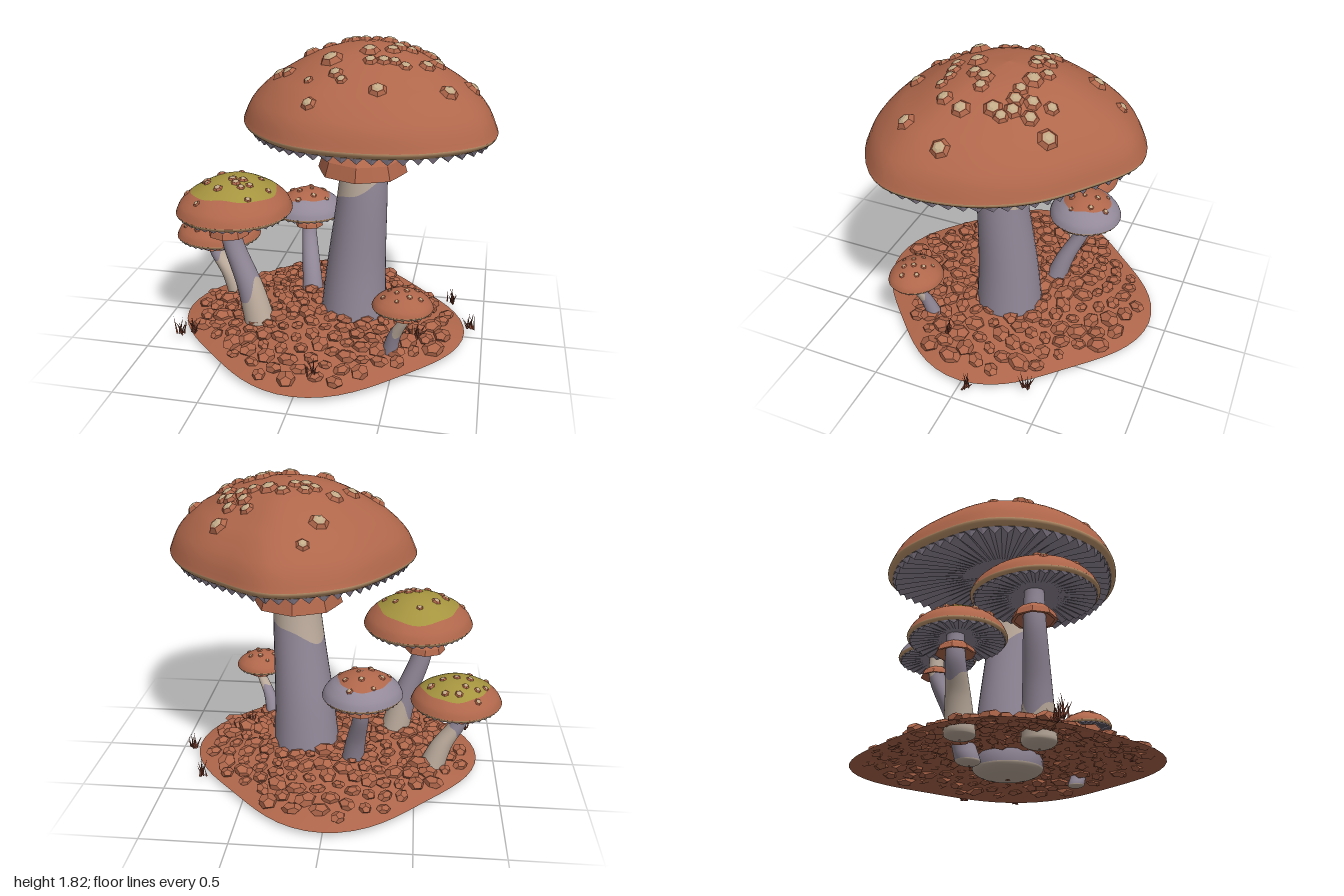
import * as THREE from 'three';
import { mergeGeometries } from 'three/addons/utils/BufferGeometryUtils.js';
import { ParametricGeometry } from 'three/addons/geometries/ParametricGeometry.js';

const mat = (name, color) => Object.assign(new THREE.MeshStandardMaterial({ color }), { name });
const V = (x, y, z) => new THREE.Vector3(x, y, z);
const TAU = Math.PI * 2;

function seeded(seed) {
  return () => {
    seed = (seed * 16807) % 2147483647;
    return seed / 2147483647;
  };
}

function flat(geo) {
  const g = geo.index ? geo.toNonIndexed() : geo;
  g.computeVertexNormals();
  return g;
}

// Surface swept around an axis; surf(u, t) gives a point, t runs from a(u) to b(u)
function sheet(surf, slices, stacks, a = () => 0, b = () => 1) {
  return new ParametricGeometry((u, v, p) => p.copy(surf(u, a(u) + (b(u) - a(u)) * v)), slices, stacks);
}

const capProfile = new THREE.SplineCurve(
  [[0, 1], [0.28, 0.93], [0.48, 0.8], [0.65, 0.64], [0.79, 0.49], [0.93, 0.25], [1, 0]]
    .map(([x, y]) => new THREE.Vector2(x, y)));

export function createModel() {
  const model = new THREE.Group();
  const rand = seeded(4711);
  const M = {
    brown: mat('russet brown', 0xb0674b),
    purple: mat('dusky purple', 0x938999),
    beige: mat('pale beige', 0xbfae9f),
    tan: mat('tan rim', 0xc49a70),
    wart: mat('wart cream', 0xc2ab88),
    olive: mat('olive', 0xa5943f),
    grass: mat('dark grass', 0x7a4030),
  };
  const add = (parent, name, geo, material) => {
    const m = new THREE.Mesh(geo, material);
    m.name = name;
    parent.add(m);
    return m;
  };

  function mushroom(o) {
    const g = new THREE.Group();
    g.name = o.name;
    model.add(g);
    const [cx, rimY, cz] = o.cap;
    const n = o.radii.length;
    const outline = new THREE.CatmullRomCurve3(o.radii.map((r, i) =>
      V(r * Math.cos(i / n * TAU), 0, r * Math.sin(i / n * TAU))), true);
    const edge = (u, s, y) => outline.getPoint(((u % 1) + 1) % 1).multiplyScalar(s).add(V(cx, y, cz));

    // Cap, split into a wavy crown patch and an outer part
    const baseY = rimY + o.band;
    const capSurf = (u, t) => {
      const p = capProfile.getPoint(t);
      return edge(u, p.x, baseY + p.y * (o.top - baseY));
    };
    if (o.patch) {
      const split = u => o.patch.t + 0.05 * Math.sin(u * TAU + o.patch.phase) + 0.03 * Math.sin(u * TAU * 3)
        + 0.015 * Math.sin(u * TAU * 7);
      add(g, 'capCrown', sheet(capSurf, 48, 10, () => 0.002, split), o.patch.material);
      add(g, 'capSkirt', sheet(capSurf, 48, 10, split), o.capMaterial);
    } else {
      add(g, 'cap', sheet(capSurf, 64, 20, () => 0.002), o.capMaterial);
    }
    add(g, 'capRim', sheet((u, t) => edge(u, 1 - 0.045 * t * t, baseY - o.band * t), 64, 4), M.tan);

    // Folded gills under the cap, deepest at the rim
    const gillSurf = (u, t) => {
      const saw = Math.abs(((u * o.gills) % 1) * 2 - 1);
      const drop = t > 0 ? o.gillDepth * (1 - saw) * (1 - t * t) ** 2 : 0;
      return edge(u, 0.955 - 0.9 * t * t, rimY - drop + o.gillDepth * 1.2 * t * t);
    };
    add(g, 'gills', flat(sheet(gillSurf, o.gills * 2, 6)), M.purple);

    // Stem, running downward and closed at its foot
    const path = new THREE.CatmullRomCurve3(o.stem.map(p => V(...p)));
    const [r0, r1] = o.stemR;
    const stemSurf = (u, t) => {
      const e = Math.max(0, (t - 0.95) / 0.05);
      const r = (r0 + (r1 - r0) * t ** 1.2) * Math.sqrt(Math.max(0, 1 - e * e));
      return path.getPointAt(t).add(V(r * Math.cos(u * TAU), 0, r * Math.sin(u * TAU)));
    };
    const yTop = o.stem[0][1], yEnd = o.stem[o.stem.length - 1][1];
    const stemSplit = u => (yTop - o.split.y - o.split.amp * (Math.cos(u * TAU - o.split.angle)
      + 0.25 * Math.sin(u * TAU * 3))) / (yTop - yEnd);
    const foot = () => 0.955;
    add(g, 'upperStem', sheet(stemSurf, 32, 10, undefined, stemSplit), o.upper);
    add(g, 'lowerStem', sheet(stemSurf, 32, 12, stemSplit, foot), o.lower);
    add(g, 'stemFoot', sheet(stemSurf, 32, 6, foot, () => 0.9999), M.beige);

    // Faceted ring skirt around the stem
    const [rx, ry, rz] = o.ring.at, { r, h } = o.ring;
    const ringPts = [[r0 * 0.9, h], [r * 0.6, h * 0.95], [r * 0.9, h * 0.5], [r, 0], [r * 0.86, 0], [r0 * 0.9, h * 0.5]];
    const ringSurf = (u, t) => {
      const [pr, py] = ringPts[Math.round(t * 5)];
      const s = pr * (1 + 0.035 * Math.cos(u * TAU * 8));
      return V(rx + s * Math.cos(u * TAU), ry + py, rz + s * Math.sin(u * TAU));
    };
    add(g, 'stemRing', flat(sheet(ringSurf, 16, 5)), M.brown);

    // Flat warts with pale tips, seated square to the cap
    const bases = [], tips = [];
    for (const [x, z, s] of o.warts) {
      const u = (Math.atan2(z - cz, x - cx) / TAU + 1) % 1;
      const rho = Math.hypot(x - cx, z - cz) / edge(u, 1, 0).sub(V(cx, 0, cz)).length();
      let lo = 0, hi = 0.99;
      for (let i = 0; i < 20; i++) {
        const mid = (lo + hi) / 2;
        if (capProfile.getPoint(mid).x < rho) lo = mid; else hi = mid;
      }
      const p = capSurf(u, lo);
      const normal = capSurf(u + 0.01, lo).sub(p).cross(capSurf(u, lo + 0.01).sub(p)).normalize();
      const q = new THREE.Quaternion().setFromUnitVectors(V(0, 1, 0), normal);
      const place = geo => flat(geo.rotateY(x * 40)
        .applyMatrix4(new THREE.Matrix4().compose(p, q, V(s, s, s))));
      bases.push(place(new THREE.CylinderGeometry(0.65, 1.12, 0.55, 6).translate(0, 0.08, 0)));
      tips.push(place(new THREE.CylinderGeometry(0.3, 0.56, 0.14, 6).translate(0, 0.42, 0)));
    }
    add(g, 'warts', mergeGeometries(bases), M.brown);
    add(g, 'wartTips', mergeGeometries(tips), M.wart);
  }

  const wobble = (R, phase) => Array.from({ length: 10 }, (_, i) =>
    R * (1 + 0.03 * Math.cos(i / 10 * TAU * 2 + phase) + 0.015 * Math.sin(i / 10 * TAU * 3)));
  const scatter = (x, z, R, count, s) => Array.from({ length: count }, (_, i) => {
    const a = i * 2.4, d = R * Math.sqrt((i + 0.3) / count);
    return [x + d * Math.cos(a), z + d * Math.sin(a), s * (0.7 + 0.5 * rand())];
  });

  mushroom({
    name: 'largeMushroom', cap: [0.26, 1.34, -0.06], top: 1.815, band: 0.04, capMaterial: M.brown,
    radii: [0.72, 0.82, 0.78, 0.74, 0.75, 0.74, 0.73, 0.69, 0.73, 0.755, 0.65, 0.66],
    gills: 56, gillDepth: 0.042, stemR: [0.125, 0.215], upper: M.beige, lower: M.purple,
    stem: [[0.245, 1.4, -0.02], [0.24, 1, 0], [0.2, 0.4, -0.02], [0.185, 0, -0.02]],
    split: { y: 0.92, amp: 0.09, angle: 0.6 }, ring: { at: [0.23, 1.055, -0.02], r: 0.26, h: 0.17 },
    warts: [[0.11, -0.64, 0.04], [0.05, -0.48, 0.06], [0.6, -0.41, 0.06], [0.45, -0.37, 0.045], [-0.01, -0.22, 0.055],
      [0.1, -0.2, 0.045], [0.15, -0.25, 0.045], [0.15, -0.18, 0.05], [0.21, -0.19, 0.045], [0.27, -0.28, 0.045],
      [0.35, -0.23, 0.06], [0.44, -0.2, 0.045], [0.48, -0.28, 0.05], [0.56, -0.3, 0.05], [0.51, -0.2, 0.05],
      [0.57, -0.21, 0.05], [0.6, -0.12, 0.055], [0.62, -0.17, 0.045], [-0.09, -0.08, 0.055], [0.43, 0, 0.055],
      [0.5, -0.01, 0.045], [0.65, 0.03, 0.055], [0.6, 0.15, 0.05], [0.85, 0.05, 0.055], [0.28, 0.11, 0.06],
      [0.4, 0.07, 0.05], [-0.23, 0.11, 0.055], [-0.17, 0.15, 0.05], [0.08, 0.19, 0.07], [0.3, 0.22, 0.045],
      [0.37, 0.21, 0.045], [0.43, 0.2, 0.04], [0.49, 0.22, 0.04], [0.73, 0.31, 0.055], [0.13, 0.32, 0.045],
      [0.17, 0.37, 0.035], [0.37, 0.43, 0.055], [0.02, 0.5, 0.045], [-0.02, 0.33, 0.03]],
  });
  mushroom({
    name: 'tallLeftMushroom', cap: [-0.495, 0.825, 0.215], top: 1.045, band: 0.022, capMaterial: M.brown,
    radii: wobble(0.35, 2.6), gills: 40, gillDepth: 0.018, stemR: [0.055, 0.1], upper: M.purple, lower: M.beige,
    stem: [[-0.54, 0.85, 0.21], [-0.53, 0.65, 0.21], [-0.42, 0.32, 0.21], [-0.35, 0.02, 0.21]],
    split: { y: 0.29, amp: 0.1, angle: 0 }, ring: { at: [-0.545, 0.67, 0.21], r: 0.122, h: 0.075 },
    patch: { material: M.olive, t: 0.6, phase: 3 },
    warts: [[-0.6, 0.14, 0.03], [-0.66, 0.24, 0.03], [-0.64, 0.28, 0.025], [-0.77, 0.28, 0.025], [-0.55, 0.36, 0.03],
      [-0.49, 0.26, 0.03], [-0.46, 0.3, 0.03], [-0.43, 0.25, 0.03], [-0.42, 0.33, 0.025], [-0.65, 0.45, 0.022],
      [-0.38, 0.29, 0.025], [-0.35, 0.15, 0.022], [-0.28, 0.25, 0.022], [-0.5, 0.05, 0.022], [-0.36, 0.4, 0.022]],
  });
  mushroom({
    name: 'shortLeftMushroom', cap: [-0.735, 0.485, -0.165], top: 0.66, band: 0.018, capMaterial: M.brown,
    radii: wobble(0.265, 0.5), gills: 34, gillDepth: 0.015, stemR: [0.045, 0.085], upper: M.purple, lower: M.beige,
    stem: [[-0.78, 0.5, -0.17], [-0.76, 0.37, -0.17], [-0.66, 0.2, -0.17], [-0.59, 0.01, -0.17]],
    split: { y: 0.33, amp: 0.05, angle: 0.2 }, ring: { at: [-0.77, 0.4, -0.17], r: 0.1, h: 0.055 },
    patch: { material: M.olive, t: 0.62, phase: 1 },
    warts: [[-0.9, -0.2, 0.022], [-0.85, -0.25, 0.022], [-0.81, -0.17, 0.024], [-0.74, -0.31, 0.026], [-0.73, -0.17, 0.022],
      [-0.66, -0.3, 0.024], [-0.58, -0.21, 0.028], [-0.92, -0.05, 0.022], [-0.82, 0.01, 0.026], [-0.85, -0.33, 0.022],
      [-0.65, -0.18, 0.022], [-0.78, -0.25, 0.022]],
  });
  mushroom({
    name: 'backMushroom', cap: [-0.185, 0.612, -0.38], top: 0.775, band: 0.016, capMaterial: M.purple,
    radii: wobble(0.23, 1), gills: 30, gillDepth: 0.014, stemR: [0.042, 0.075], upper: M.beige, lower: M.purple,
    stem: [[-0.18, 0.63, -0.39], [-0.18, 0.5, -0.38], [-0.14, 0.25, -0.27], [-0.11, 0.01, -0.2]],
    split: { y: 0.55, amp: 0.03, angle: 1 }, ring: { at: [-0.18, 0.515, -0.385], r: 0.09, h: 0.05 },
    patch: { material: M.brown, t: 0.5, phase: 4 }, warts: scatter(-0.19, -0.38, 0.17, 11, 0.02),
  });
  mushroom({
    name: 'frontMushroom', cap: [0.545, 0.405, 0.44], top: 0.515, band: 0.013, capMaterial: M.brown,
    radii: wobble(0.17, 0), gills: 28, gillDepth: 0.01, stemR: [0.028, 0.052], upper: M.beige, lower: M.purple,
    stem: [[0.56, 0.415, 0.45], [0.56, 0.34, 0.45], [0.5, 0.2, 0.41], [0.46, 0.01, 0.36]],
    split: { y: 0.24, amp: 0.04, angle: 4 }, ring: { at: [0.56, 0.34, 0.45], r: 0.064, h: 0.033 },
    warts: scatter(0.545, 0.44, 0.12, 10, 0.016),
  });

  // Low earth mound with a rounded diamond outline
  const groundR = u => 0.84 + 0.05 * Math.cos(u * TAU * 4) + 0.006 * Math.sin(u * TAU * 3);
  const groundAt = (u, t) => V(groundR(u) * t * Math.cos(u * TAU), 0.03 + 0.11 * (1 - t * t),
    groundR(u) * t * Math.sin(u * TAU));
  add(model, 'ground', sheet(groundAt, 64, 8, () => 0.002), M.brown);
  add(model, 'groundUnderside', sheet((u, t) => groundAt(1 - u, t).sub(V(0, 0.003, 0)), 64, 8, () => 0.002), M.brown);

  // Scattered flat stones, half sunk in the mound
  const stones = [];
  for (let i = 0; i < 175; i++) {
    const p = groundAt(i * 0.618, 0.92 * Math.sqrt((i + rand()) / 175));
    const s = 0.036 + 0.03 * rand();
    const turn = new THREE.Quaternion().setFromEuler(new THREE.Euler(rand() * 0.4 - 0.2, rand() * TAU, rand() * 0.4 - 0.2));
    p.y += 0.01;
    stones.push(flat(new THREE.DodecahedronGeometry(1)
      .applyMatrix4(new THREE.Matrix4().compose(p, turn, V(s * 1.15, s * 0.6, s * 0.9)))));
  }
  add(model, 'stones', mergeGeometries(stones), M.brown);

  // Grass tufts
  const blades = [];
  for (const [x, z] of [[-0.83, 0.36], [-0.76, 0.33], [0.78, -0.38], [0.93, -0.05], [0.07, 0.71], [0.6, 0.2]]) {
    const y = 0.03 + 0.11 * Math.max(0, 1 - (x * x + z * z) / 0.7);
    for (let i = 0; i < 9; i++) {
      const h = 0.07 + 0.05 * rand();
      blades.push(flat(new THREE.ConeGeometry(0.007, h, 3).translate(0, h / 2, 0)
        .rotateZ(0.1 + 0.5 * rand()).rotateY(i * 2.4)
        .translate(x + (rand() - 0.5) * 0.05, y, z + (rand() - 0.5) * 0.05)));
    }
  }
  add(model, 'grass', mergeGeometries(blades), M.grass);
  return model;
}
